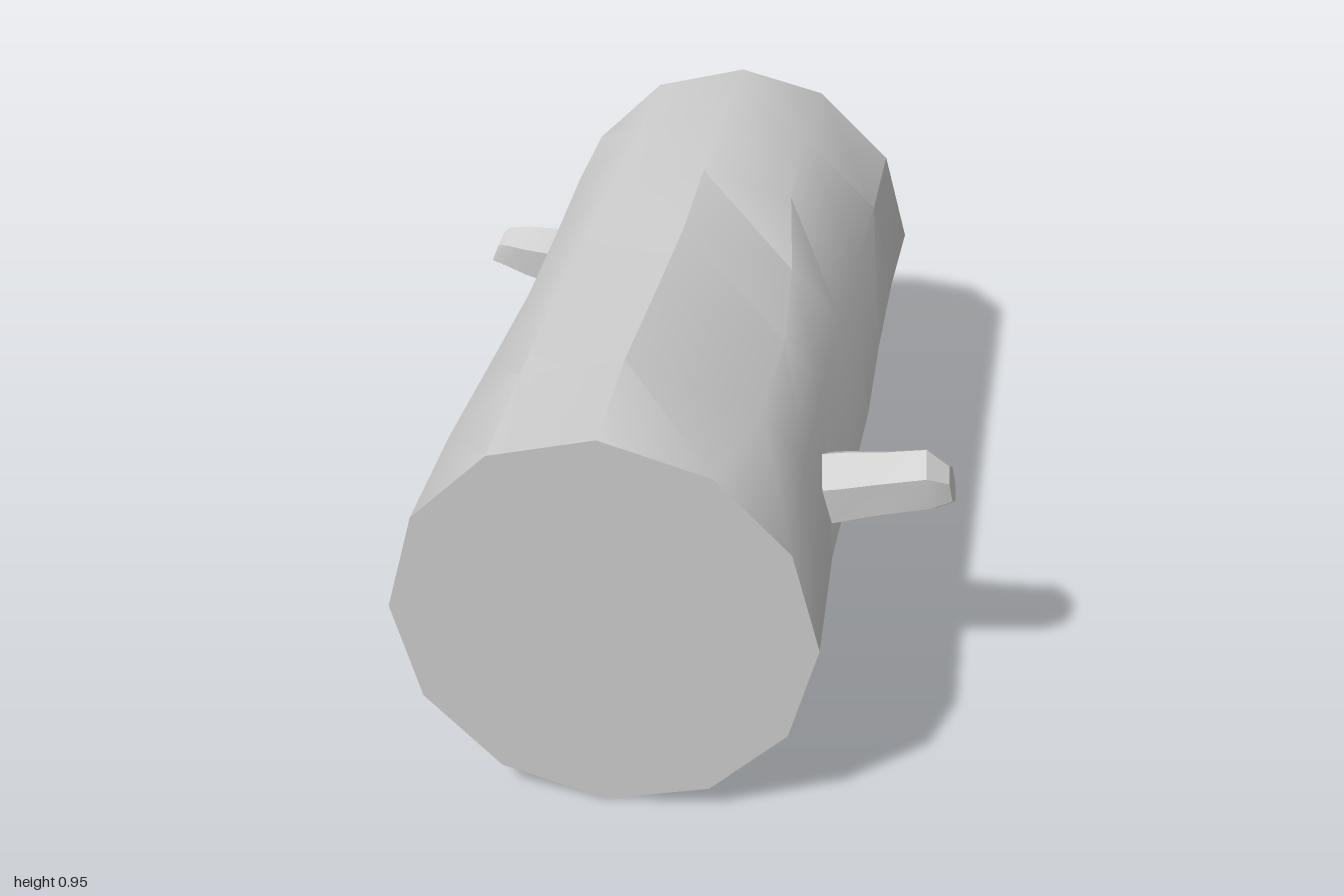
import * as THREE from 'three';
import { toCreasedNormals } from 'three/addons/utils/BufferGeometryUtils.js';

// Skin rings of points (clockwise seen from the first ring's end) and close both ends
function loft(rings) {
  const n = rings[0].length;
  const pos = [];
  const tri = (...pts) => pts.forEach((p) => pos.push(p.x, p.y, p.z));
  const middle = (ring) => ring.reduce((s, p) => s.add(p), new THREE.Vector3()).divideScalar(n);
  const first = rings[0], last = rings[rings.length - 1];
  const c0 = middle(first), c1 = middle(last);
  for (let i = 0; i < n; i++) {
    const j = (i + 1) % n;
    for (let k = 0; k < rings.length - 1; k++) {
      const a = rings[k], b = rings[k + 1];
      tri(a[i], a[j], b[i]);
      tri(a[j], b[j], b[i]);
    }
    tri(c0, first[j], first[i]);
    tri(c1, last[i], last[j]);
  }
  const geo = new THREE.BufferGeometry();
  geo.setAttribute('position', new THREE.Float32BufferAttribute(pos, 3));
  return toCreasedNormals(geo, THREE.MathUtils.degToRad(31));
}

// Twelve-sided trunk: z, centre x, centre y, radius, twist in degrees of the upper-right ridge
function trunkGeometry() {
  const sections = [
    [1.0, -0.042, 0.48, 0.472, 1],
    [0.67, -0.05, 0.494, 0.464, 10],
    [0.33, -0.047, 0.488, 0.464, 10],
    [0.0, -0.047, 0.477, 0.466, 5],
    [-0.33, -0.055, 0.486, 0.464, -1],
    [-0.67, -0.06, 0.493, 0.466, -2],
    [-1.0, -0.062, 0.48, 0.472, -2],
  ];
  return loft(sections.map(([z, cx, cy, r, twist]) => {
    const ring = [];
    for (let i = 0; i < 12; i++) {
      // ridges wander gently between the two ends
      const sway = i === 1 ? twist : i % 3 ? 4 * Math.sin(i * 2.1 + z * 2.5) * (1 - z * z) : 0;
      const a = THREE.MathUtils.degToRad(i * 30 + sway);
      ring.push(new THREE.Vector3(cx + r * Math.sin(a), cy + r * Math.cos(a), z));
    }
    return ring;
  }));
}

// Six-sided branch stump; sections run tip to root: x, y, radius, lean of the cut
function stumpGeometry(side, z, sections) {
  return loft(sections.map(([x, y, r, lean]) => {
    const ring = [];
    for (let i = 0; i < 6; i++) {
      const a = (i * Math.PI) / 3;
      const up = r * Math.cos(a);
      ring.push(new THREE.Vector3(side * (x - lean * up), y + up, z - side * r * Math.sin(a)));
    }
    return ring;
  }));
}

export function createModel() {
  const group = new THREE.Group();
  group.name = 'log';
  const material = new THREE.MeshStandardMaterial({ color: 0xcccccc });
  const add = (name, geometry) => {
    const mesh = new THREE.Mesh(geometry, material);
    mesh.name = name;
    group.add(mesh);
  };

  add('trunk', trunkGeometry());
  add('leftBranchStump', stumpGeometry(1, 0.51, [
    [0.662, 0.617, 0.045, 0.2],
    [0.615, 0.625, 0.075, 0.2],
    [0.5, 0.6, 0.082, 0],
    [0.4, 0.578, 0.096, -0.25],
    [0.3, 0.56, 0.096, -0.25],
  ]));
  add('rightBranchStump', stumpGeometry(-1, -0.515, [
    [0.652, 0.592, 0.045, 0.4],
    [0.622, 0.592, 0.06, 0.1],
    [0.56, 0.582, 0.076, 0],
    [0.5, 0.575, 0.083, 0.2],
    [0.38, 0.56, 0.085, 0.2],
  ]));
  return group;
}
